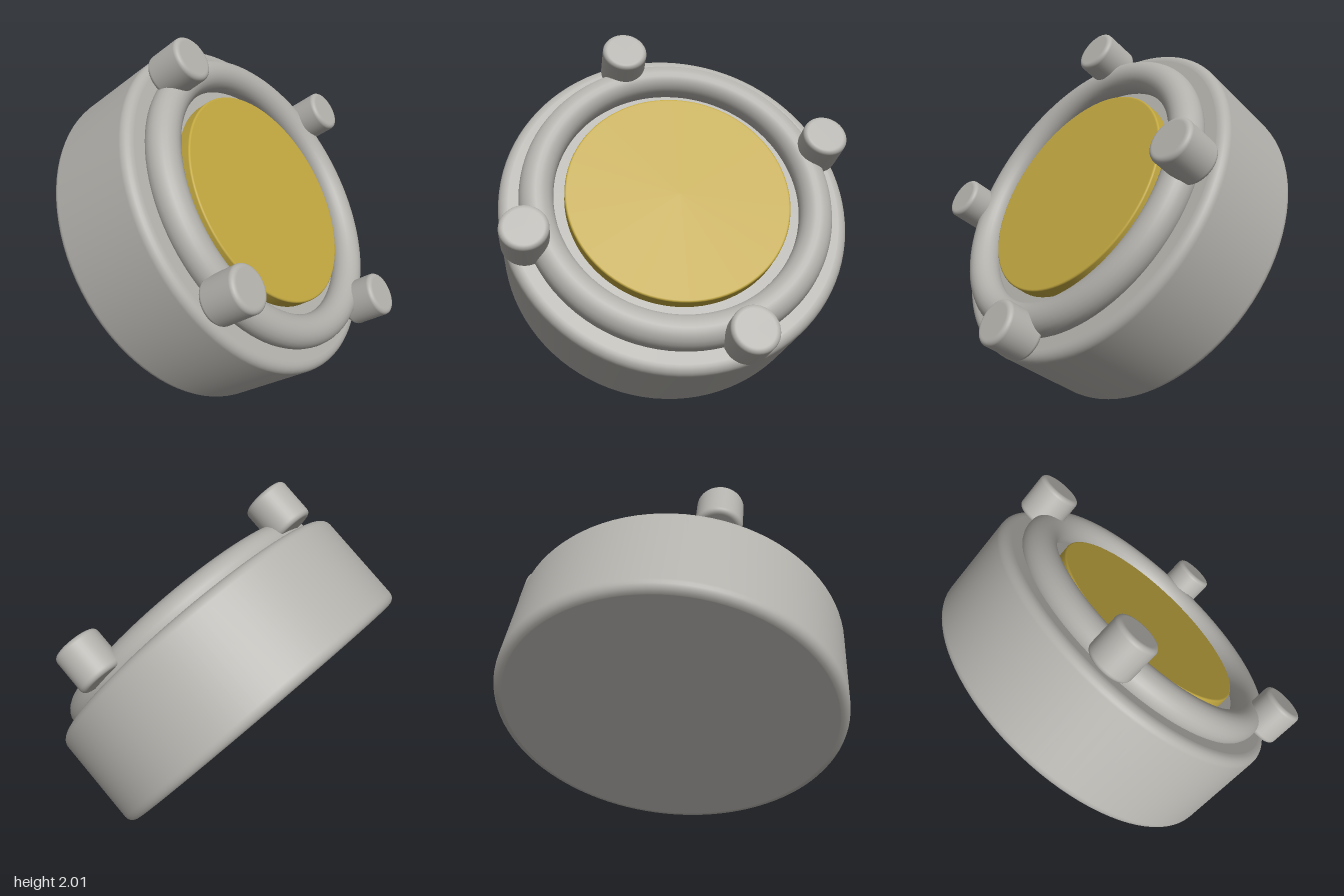
import * as THREE from 'three';

// Solid disc along y from y0 to y1 with rounded rims
function roundedDisc(radius, y0, y1, bevel, segments) {
  const pts = [new THREE.Vector2(0, y0)];
  const steps = 6;
  const corner = (cy, start) => {
    for (let i = 0; i <= steps; i++) {
      const a = start + (i / steps) * Math.PI / 2;
      pts.push(new THREE.Vector2(radius - bevel + Math.cos(a) * bevel, cy + Math.sin(a) * bevel));
    }
  };
  // tight extra points keep the flat caps evenly shaded
  pts.push(new THREE.Vector2(radius - bevel - 0.004, y0));
  corner(y0 + bevel, -Math.PI / 2);
  corner(y1 - bevel, 0);
  pts.push(new THREE.Vector2(radius - bevel - 0.004, y1));
  pts.push(new THREE.Vector2(0, y1));
  return new THREE.LatheGeometry(pts, segments);
}

export function createModel() {
  const grey = new THREE.MeshStandardMaterial({ color: 0xb2b0ab });
  grey.name = 'stone grey';
  const gold = new THREE.MeshStandardMaterial({ color: 0xc0a63f });
  gold.name = 'gold';

  const model = new THREE.Group();
  model.name = 'studdedDisc';

  // Everything is built upright along y, then tilted as one
  const tilted = new THREE.Group();
  tilted.name = 'tiltedAssembly';
  model.add(tilted);

  const add = (name, geometry, material) => {
    const mesh = new THREE.Mesh(geometry, material);
    mesh.name = name;
    tilted.add(mesh);
    return mesh;
  };

  // Thick drum
  add('body', roundedDisc(0.96, -0.29, 0.295, 0.05, 96), grey);

  // Raised ring on the front face
  const ring = add('ring', new THREE.TorusGeometry(0.76, 0.09, 24, 96), grey);
  ring.rotation.x = Math.PI / 2;
  ring.position.y = 0.335;

  // Central plate
  add('centrePlate', roundedDisc(0.613, 0.28, 0.368, 0.01, 96), gold);

  // Four studs around the ring
  const studGeometry = roundedDisc(0.123, -0.11, 0.11, 0.025, 40);
  for (let i = 0; i < 4; i++) {
    const a = i * Math.PI / 2;
    const stud = add('stud' + (i + 1), studGeometry, grey);
    stud.position.set(Math.cos(a) * 0.854, 0.436, Math.sin(a) * 0.854);
  }

  // Tilt: y becomes the facing direction, x runs through a pair of studs
  const up = new THREE.Vector3(0.35, 0.568, 0.745).normalize();
  const side = new THREE.Vector3(0.795, 0.249, -0.553);
  side.addScaledVector(up, -side.dot(up)).normalize();
  const third = new THREE.Vector3().crossVectors(side, up);
  tilted.quaternion.setFromRotationMatrix(new THREE.Matrix4().makeBasis(side, up, third));
  tilted.position.set(0, 0.941, -0.05);

  return model;
}
